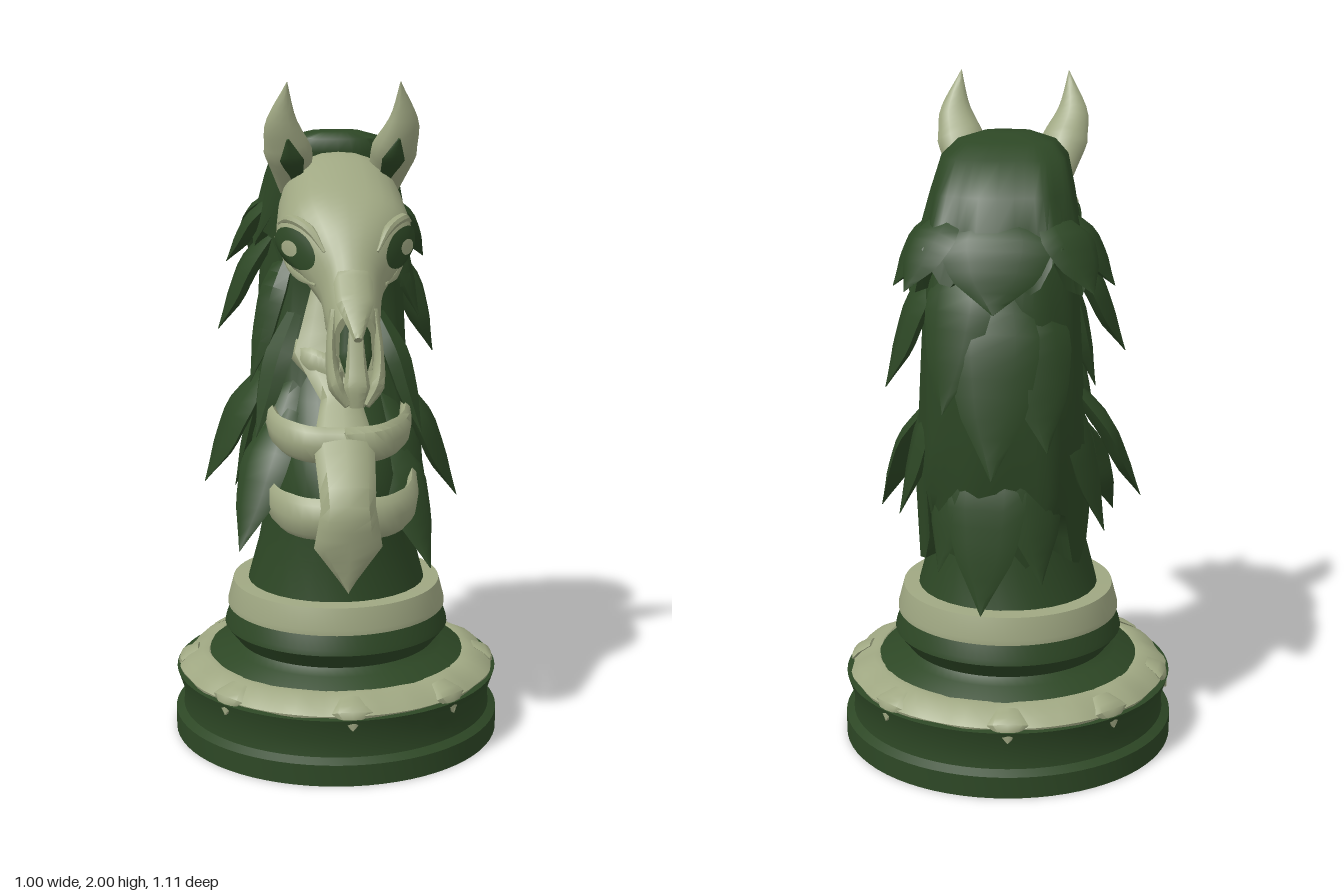
import * as THREE from 'three';
import { toCreasedNormals } from 'three/addons/utils/BufferGeometryUtils.js';

const V = (x, y, z) => new THREE.Vector3(x, y, z);
const green = new THREE.MeshStandardMaterial({ color: 0x2d4725, side: THREE.DoubleSide });
green.name = 'dark green';
const bone = new THREE.MeshStandardMaterial({ color: 0x9fa782, side: THREE.DoubleSide });
bone.name = 'pale bone';

// linear lookup in a list, t from 0 to 1
function at(list, t) {
  const f = t * (list.length - 1), i = Math.min(Math.floor(f), list.length - 2);
  return list[i] + (list[i + 1] - list[i]) * (f - i);
}

// closed skin over a row of rings, wound so that faces point outward
function skin(rings, crease = 0.7) {
  const n = rings[0].length, pts = rings.flat(), idx = [];
  for (let r = 0; r < rings.length - 1; r++)
    for (let i = 0; i < n; i++) {
      const a = r * n + i, b = r * n + (i + 1) % n;
      idx.push(a, b, b + n, a, b + n, a + n);
    }
  for (const r of [0, rings.length - 1]) {
    const c = rings[r].reduce((s, p) => s.add(p), V(0, 0, 0)).divideScalar(n);
    const k = pts.push(c) - 1;
    for (let i = 0; i < n; i++) {
      const a = r * n + i, b = r * n + (i + 1) % n;
      if (r) idx.push(a, b, k); else idx.push(b, a, k);
    }
  }
  let volume = 0;
  for (let i = 0; i < idx.length; i += 3)
    volume += pts[idx[i]].dot(pts[idx[i + 1]].clone().cross(pts[idx[i + 2]]));
  if (volume < 0) idx.reverse();
  const g = new THREE.BufferGeometry().setFromPoints(pts);
  g.setIndex(idx);
  return toCreasedNormals(g, crease);
}

// flattened tapering bar along a curve
function blade(path, widths, thicks, side, steps = 12, sides = 8) {
  const curve = new THREE.CatmullRomCurve3(path), rings = [];
  for (let i = 0; i <= steps; i++) {
    const t = i / steps, p = curve.getPoint(t), T = curve.getTangent(t);
    const S = side.clone().addScaledVector(T, -side.dot(T)).normalize();
    const O = T.clone().cross(S);
    const w = Math.max(at(widths, t), 0.001), d = Math.max(at(thicks, t), 0.001);
    rings.push(Array.from({ length: sides }, (_, k) => {
      const a = k / sides * Math.PI * 2;
      return p.clone().addScaledVector(S, w * Math.cos(a)).addScaledVector(O, d * Math.sin(a));
    }));
  }
  return skin(rings);
}

// upright body from rows of [y, half width, back z, front z]
function column(rows, segs, power, warp = p => p) {
  return skin(rows.map(([y, w, zb, zf], r) => Array.from({ length: segs }, (_, k) => {
    const a = k / segs * Math.PI * 2, c = Math.cos(a), s = Math.sin(a);
    const x = w * Math.sign(c) * Math.abs(c) ** power;
    const z = (zb + zf) / 2 + (zf - zb) / 2 * Math.sign(s) * Math.abs(s) ** power;
    return warp(V(x, y, z), r / (rows.length - 1), a);
  })), 0.9);
}

export function createModel() {
  const model = new THREE.Group();
  const add = (name, geo, mat, parent = model) => {
    const m = new THREE.Mesh(geo, mat);
    m.name = name;
    parent.add(m);
    return m;
  };
  const group = name => {
    const g = new THREE.Group();
    g.name = name;
    model.add(g);
    return g;
  };

  // turned base
  const ring = (name, profile, mat, wobble = 0) => {
    const g = new THREE.LatheGeometry(profile.map(p => new THREE.Vector2(...p)), 72);
    const p = g.attributes.position;
    for (let i = 0; i < p.count; i++) {
      const a = Math.atan2(p.getX(i), p.getZ(i));
      const k = 1 + wobble * (Math.sin(a * 11) + Math.sin(a * 17 + 1) + Math.sin(a * 5 + 2));
      p.setXYZ(i, p.getX(i) * k, p.getY(i) + (k - 1) * 0.25, p.getZ(i) * k);
    }
    add(name, toCreasedNormals(g, 0.5), mat).position.z = -0.05;
  };
  ring('basePlinth', [[0, 0], [0.502, 0], [0.502, 0.065], [0.478, 0.08], [0.474, 0.13], [0.497, 0.2], [0.47, 0.205], [0.3, 0.21]], green);
  ring('lowerTrim', [[0.478, 0.19], [0.484, 0.208], [0.46, 0.23], [0.415, 0.252], [0.395, 0.252], [0.37, 0.23]], bone, 0.006);
  ring('baseCollar', [[0.41, 0.235], [0.395, 0.25], [0.33, 0.27], [0.306, 0.29], [0.345, 0.34], [0.342, 0.355], [0.325, 0.402]], green);
  ring('upperTrim', [[0.3, 0.398], [0.335, 0.4], [0.335, 0.415], [0.318, 0.48], [0.24, 0.483]], bone);

  // worn points hanging over the edge of the lower trim
  const chips = group('trimChips');
  for (let i = 0; i < 8; i++) {
    const a = i * Math.PI / 4 + 0.1 * Math.sin(i * 5), s = Math.sin(a), c = Math.cos(a);
    const P = (r, y) => V(r * s, y, r * c - 0.05);
    add('trimChip', blade([P(0.43, 0.246), P(0.478, 0.216), P(0.488, 0.165)], [0.03, 0.06, 0], [0.006, 0.012, 0.006], V(c, 0, -s), 6), bone, chips);
  }

  // neck
  add('neck', column([[0.47, 0.275, -0.32, 0.22], [0.6, 0.24, -0.29, 0.205], [0.75, 0.212, -0.28, 0.21], [0.85, 0.2, -0.28, 0.22], [0.95, 0.185, -0.28, 0.14],
    [1.05, 0.17, -0.28, 0.05], [1.2, 0.14, -0.28, -0.04], [1.35, 0.12, -0.28, -0.06], [1.5, 0.13, -0.28, -0.02], [1.65, 0.14, -0.25, 0]], 32, 1), green);

  // breastbone and ribs
  const cage = group('ribCage');
  add('breastbone', blade([V(0, 1.4, -0.05), V(0, 1.2, 0.01), V(0, 1.07, 0.1), V(0, 0.96, 0.19), V(0, 0.8, 0.315), V(0, 0.68, 0.31), V(0, 0.54, 0.3)],
    [0.07, 0.13, 0.06, 0.09, 0.08, 0.1, 0], [0.03, 0.03, 0.03, 0.04, 0.045, 0.035, 0.012], V(1, 0, 0), 24), bone, cage);
  for (const s of [-1, 1]) {
    const ribs = [
      [[[0, 1.14, 0.06], [0.08, 1.17, 0.03], [0.14, 1.21, -0.06]], 0.045],
      [[[0, 0.955, 0.2], [0.11, 0.96, 0.18], [0.185, 0.98, 0.1], [0.21, 1.03, -0.02]], 0.055],
      [[[0, 0.765, 0.31], [0.12, 0.76, 0.27], [0.195, 0.775, 0.18], [0.225, 0.83, 0.02]], 0.062],
    ];
    for (const [p, w] of ribs)
      add('rib', blade(p.map(q => V(q[0] * s, q[1], q[2])), [w, w, w * 0.7], [0.03, 0.024, 0.016], V(0, 1, 0), 12), bone, cage);
  }

  // skull: top line as (half width, y, z) and bottom line as (0, y, z)
  const top = new THREE.CatmullRomCurve3([V(0.14, 1.79, -0.03), V(0.175, 1.79, 0.07), V(0.19, 1.75, 0.17), V(0.19, 1.69, 0.27),
    V(0.14, 1.62, 0.345), V(0.09, 1.54, 0.4), V(0.076, 1.46, 0.45), V(0.06, 1.4, 0.495)]);
  const bottom = new THREE.CatmullRomCurve3([V(0, 1.5, -0.03), V(0, 1.47, 0.05), V(0, 1.41, 0.1), V(0, 1.4, 0.2),
    V(0, 1.37, 0.27), V(0, 1.32, 0.33), V(0, 1.27, 0.39), V(0, 1.22, 0.45)]);
  const skullPoint = (u, a) => {
    const A = top.getPoint(u / 7), B = bottom.getPoint(u / 7), s = Math.sin(a), c = Math.cos(a);
    const w = A.x * Math.sign(c) * Math.abs(c) ** 0.8 * (s < 0 ? 1 + 0.35 * s : 1);
    return V(w, (A.y + B.y) / 2 + (A.y - B.y) / 2 * s, (A.z + B.z) / 2 + (A.z - B.z) / 2 * s);
  };
  const head = group('head');
  const headRings = [];
  for (let i = 0; i <= 28; i++)
    headRings.push(Array.from({ length: 28 }, (_, k) => skullPoint(i / 4, k / 28 * Math.PI * 2)));
  add('skull', skin(headRings), bone, head);
  const X = V(1, 0, 0);
  add('nasalBone', blade([V(0, 1.49, 0.405), V(0, 1.42, 0.47), V(0, 1.335, 0.55)], [0.055, 0.052, 0.012], [0.025, 0.025, 0.012], X), bone, head);
  add('nasalOpening', blade([V(0, 1.37, 0.475), V(0, 1.28, 0.49), V(0, 1.2, 0.505)], [0.04, 0.045, 0.02], [0.015, 0.016, 0.01], X), green, head);
  add('muzzleRidge', blade([V(0, 1.36, 0.478), V(0, 1.26, 0.505), V(0, 1.2, 0.525), V(0, 1.145, 0.53)], [0.025, 0.028, 0.036, 0.02], [0.015, 0.02, 0.02, 0.012], X), bone, head);

  // oval patch lying on the side of the skull
  const eyePatch = (ru, ra, lift, s) => {
    const pos = [], idx = [], n = 24, m = 5;
    for (let j = 0; j <= m; j++)
      for (let k = 0; k < n; k++) {
        const t = k / n * Math.PI * 2, du = ru * j / m * Math.cos(t);
        const p = skullPoint(3.65 + du, 0.28 + 0.24 * du + ra * j / m * Math.sin(t));
        pos.push(s * (p.x + lift), p.y, p.z + lift * 0.6);
        if (j < m) {
          const a = j * n + k, b = j * n + (k + 1) % n;
          if (s < 0) idx.push(a, b, b + n, a, b + n, a + n);
          else idx.push(a, b + n, b, a, a + n, b + n);
        }
      }
    const g = new THREE.BufferGeometry();
    g.setAttribute('position', new THREE.Float32BufferAttribute(pos, 3));
    g.setIndex(idx);
    g.computeVertexNormals();
    return g;
  };
  for (const s of [-1, 1]) {
    const P = (x, y, z) => V(s * x, y, z);
    const onSkull = list => list.map(([u, a]) => skullPoint(u, a).multiply(V(s, 1, 1)));
    add('eyeSocket', eyePatch(0.95, 0.4, 0.006, s), green, head);
    add('eye', eyePatch(0.3, 0.16, 0.012, s), bone, head);
    add('brow', blade(onSkull([[2.5, 0.3], [3.1, 0.65], [3.8, 0.85], [4.6, 0.9]]), [0.005, 0.014, 0.014, 0.004], [0.005, 0.016, 0.014, 0.004], V(0, 1, 0)), bone, head);
    add('cheekBone', blade(onSkull([[2.3, 0], [2.9, -0.42], [3.8, -0.3], [4.8, 0.1]]), [0.005, 0.016, 0.015, 0.004], [0.005, 0.014, 0.012, 0.004], V(0, 1, 0)), bone, head);
    add('upperJaw', blade([P(0.055, 1.4, 0.44), P(0.066, 1.28, 0.47), P(0.055, 1.2, 0.51), P(0.025, 1.15, 0.53)], [0.02, 0.045, 0.04, 0.012], [0.012, 0.014, 0.022, 0.01], V(0, 0.4, 1)), bone, head);
    for (const [x, y, z, h] of [[0.045, 1.2, 0.475, 0.03], [0.05, 1.235, 0.43, 0.03], [0.05, 1.28, 0.38, 0.03], [0.055, 1.33, 0.325, 0.025]])
      add('tooth', blade([P(x, y + 0.03, z - 0.01), P(x, y, z), P(x, y - h, z + 0.01)], [0.034, 0.026, 0.003], [0.015, 0.012, 0.003], V(0, 0, 1), 4, 6), bone, head);
    // ears
    add('ear', blade([P(0.13, 1.69, 0.03), P(0.152, 1.8, 0.1), P(0.172, 1.88, 0.14), P(0.16, 2.0, 0.18)],
      [0.045, 0.072, 0.05, 0], [0.04, 0.05, 0.032, 0], V(1, 0, -0.2 * s), 14, 12), bone, head);
    add('innerEar', blade([P(0.128, 1.722, 0.1), P(0.145, 1.78, 0.149), P(0.158, 1.84, 0.172)], [0.018, 0.035, 0.004], [0.008, 0.008, 0.004], V(1, 0, -0.2 * s)), green, head);
  }

  // mane body and upper cape, with combed grooves and ragged hems
  const mane = group('mane');
  const combed = hem => (p, t, a) => {
    const g = 1 + 0.04 * t * Math.sin(a * 9 + t * 3);
    p.x *= g;
    p.z = (p.z + 0.18) * g - 0.18;
    if (t === 1) p.y += hem * (0.07 * Math.sin(a * 8 + 1) + 0.03 * Math.sin(a * 5));
    return p;
  };
  add('maneBody', column([[1.7, 0.17, -0.32, -0.02],
    [1.55, 0.205, -0.39, -0.03], [1.4, 0.22, -0.43, -0.05], [1.2, 0.23, -0.43, -0.03], [1.0, 0.24, -0.42, 0.02],
    [0.85, 0.25, -0.4, 0.07], [0.7, 0.245, -0.37, 0.08]], 48, 0.8, combed(1)), green, mane);
  add('maneCape', column([[1.848, 0.07, -0.12, -0.01], [1.828, 0.14, -0.2, 0.01], [1.79, 0.178, -0.29, 0.01], [1.7, 0.2, -0.375, 0],
    [1.6, 0.222, -0.405, -0.03], [1.5, 0.25, -0.44, -0.06]], 48, 0.7, combed(0.8)), green, mane);

  // hanging locks: [tip x, y, z, half width, length]
  const locks = [
    [0.30, 1.44, -0.3, 0.1, 0.2], [-0.32, 1.44, -0.24, 0.1, 0.2], [0.25, 1.45, -0.43, 0.1, 0.2], [-0.27, 1.45, -0.42, 0.1, 0.2],
    [0.33, 1.14, -0.28, 0.11, 0.36], [-0.35, 1.24, -0.18, 0.11, 0.3], [0.26, 1.28, -0.1, 0.07, 0.34], [-0.26, 1.1, -0.05, 0.07, 0.4],
    [0.38, 0.72, -0.08, 0.12, 0.36], [-0.4, 0.78, -0.1, 0.12, 0.34], [0.26, 0.57, 0.19, 0.09, 0.4], [-0.31, 0.64, 0.19, 0.09, 0.38],
    [0.25, 0.95, 0.05, 0.06, 0.35], [-0.25, 0.95, 0.05, 0.06, 0.35], [0.27, 0.66, 0.08, 0.08, 0.4], [-0.27, 0.7, 0.08, 0.08, 0.4],
    [0.3, 0.75, -0.25, 0.1, 0.42], [-0.3, 0.72, -0.26, 0.1, 0.42],
    [0, 0.95, -0.55, 0.13, 0.55], [0.14, 1.12, -0.49, 0.11, 0.45], [-0.15, 1.02, -0.5, 0.11, 0.45], [0, 1.4, -0.49, 0.16, 0.26],
    [0.04, 0.52, -0.46, 0.12, 0.5], [-0.13, 0.6, -0.41, 0.1, 0.45], [0.17, 0.62, -0.38, 0.1, 0.45],
  ];
  for (const [x, y, z, w, len] of locks) {
    const P = (k, h) => V(x * k, y + h, -0.18 + (z + 0.18) * k);
    add('lock', blade([P(0.5, len), P(0.72, len * 0.66), P(0.85, len * 0.33), P(1, 0)], [w * 0.5, w, w * 0.75, 0], [0.02, 0.032, 0.026, 0],
      V(-(z + 0.18), 0, x).normalize(), 10, 6), green, mane);
  }
  return model;
}
